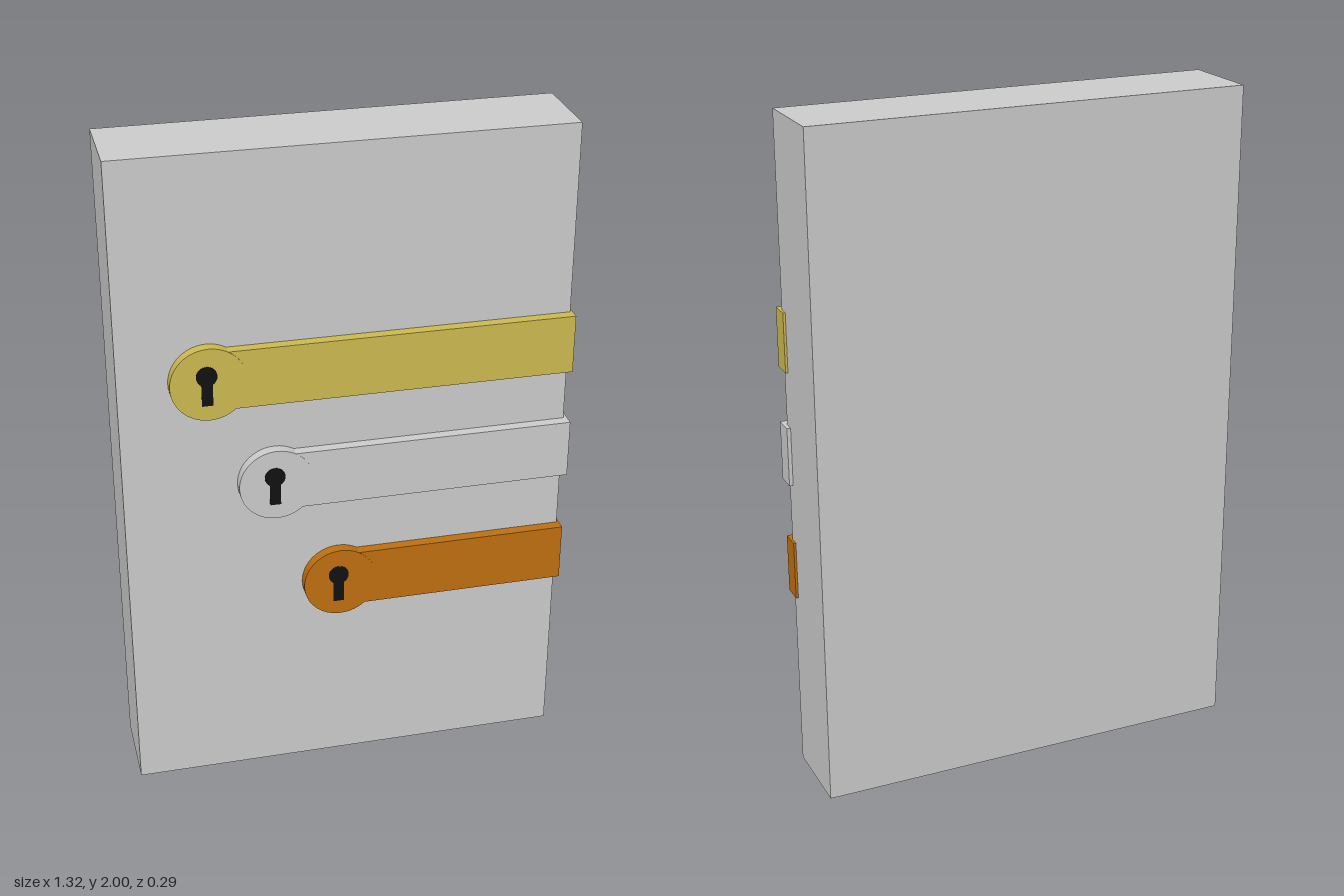
import * as THREE from 'three';

const FRONT = 0.142; // front plane of the lock bars

function add(parent, name, geometry, material, x, y, z) {
  const mesh = new THREE.Mesh(geometry, material);
  mesh.name = name;
  mesh.position.set(x, y, z);
  parent.add(mesh);
  return mesh;
}

// Short round plate facing +z
function disc(radius, depth) {
  return new THREE.CylinderGeometry(radius, radius, depth, 48).rotateX(Math.PI / 2);
}

// Bar reaching past the door edge, with a round keyhole plate at its inner end
function createLock(name, color, x, y, end) {
  const lock = new THREE.Group();
  lock.name = name;
  const metal = new THREE.MeshStandardMaterial({ color });
  const black = new THREE.MeshStandardMaterial({ color: 0x111111 });

  const barDepth = 0.062;
  add(lock, 'bar', new THREE.BoxGeometry(end - x, 0.177, barDepth), metal,
    (x + end) / 2, y + 0.006, FRONT - barDepth / 2);
  add(lock, 'keyPlate', disc(0.11, 0.06), metal, x, y, FRONT - 0.029);

  // Keyhole: round top and straight slot
  add(lock, 'keyholeTop', disc(0.03, 0.02), black, x - 0.006, y + 0.026, FRONT - 0.007);
  add(lock, 'keyholeSlot', new THREE.BoxGeometry(0.032, 0.09, 0.02), black,
    x - 0.006, y - 0.019, FRONT - 0.0075);
  return lock;
}

export function createModel() {
  const model = new THREE.Group();
  model.name = 'lockedDoor';

  // Door slab
  add(model, 'door', new THREE.BoxGeometry(1.306, 2, 0.255),
    new THREE.MeshStandardMaterial({ color: 0xcccccc }), -0.006, 1, -0.0175);

  // Three locks of decreasing length
  model.add(
    createLock('upperLock', 0xcdba50, -0.406, 1.341, 0.654),
    createLock('middleLock', 0xcccccc, -0.22, 0.998, 0.658),
    createLock('lowerLock', 0xbe7010, -0.034, 0.639, 0.654),
  );
  return model;
}
